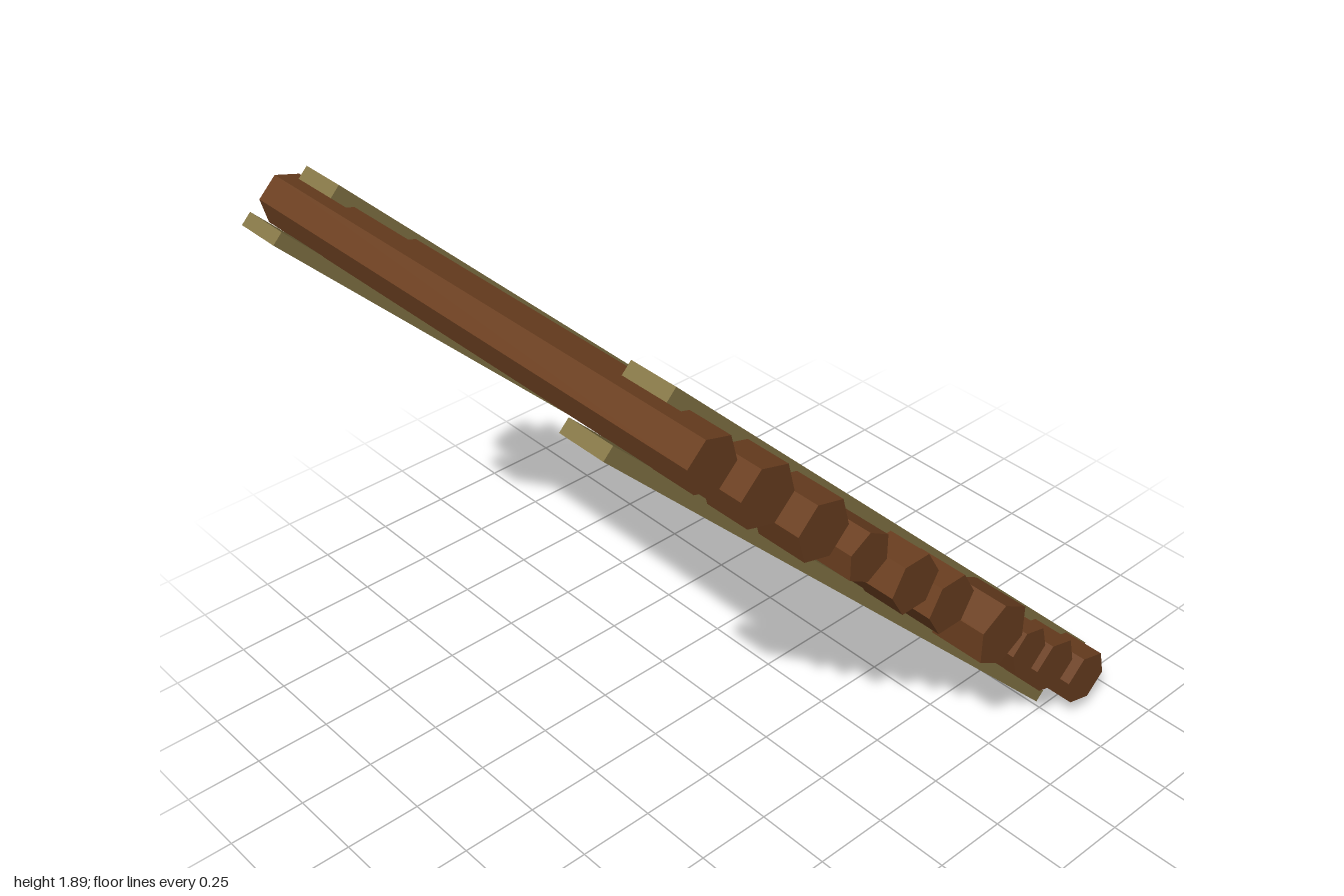
import * as THREE from 'three';

const rad = THREE.MathUtils.degToRad;

// Inclined rack: hexagonal logs clamped between two pairs of sloping planks
export function createModel() {
  const group = new THREE.Group();
  const logMat = new THREE.MeshStandardMaterial({ color: 0x6b3f20, flatShading: true });
  const plankMat = new THREE.MeshStandardMaterial({ color: 0x857646, flatShading: true });

  // Sloping plank, running between two points of the side profile
  function addPlank(name, [x0, y0], [x1, y1], z) {
    const dx = x1 - x0, dy = y1 - y0;
    const plank = new THREE.Mesh(new THREE.BoxGeometry(Math.hypot(dx, dy), 0.042, 0.157), plankMat);
    plank.position.set((x0 + x1) / 2, (y0 + y1) / 2, z);
    plank.rotation.z = Math.atan2(dy, dx);
    plank.name = name;
    group.add(plank);
  }
  for (const [side, z] of [['front', 0.647], ['back', -0.715]]) {
    addPlank(side + 'UpperPlank', [-0.795, 1.876], [0.985, 0.101], z);
    addPlank(side + 'LowerPlank', [-0.985, 1.802], [0.78, 0.015], z);
  }

  // Logs: x, y, radius, roll of a corner in degrees, shift along z
  const logs = [
    [-0.798, 1.755, 0.080, -16, -0.022],
    [-0.620, 1.580, 0.092, -16, -0.022],
    [-0.447, 1.403, 0.092, -15, 0],
    [-0.275, 1.230, 0.079, 30, 0],
    [-0.057, 1.012, 0.092, 0, -0.022],
    [0.077, 0.882, 0.092, 0, 0],
    [0.294, 0.665, 0.106, 30, 0.023],
    [0.464, 0.491, 0.080, -15, 0],
    [0.638, 0.318, 0.092, -16, -0.022],
    [0.815, 0.163, 0.092, -16, -0.022],
  ];
  logs.forEach(([x, y, r, roll, z], i) => {
    const geo = new THREE.CylinderGeometry(r, r, 1.776, 6);
    geo.rotateX(Math.PI / 2).rotateZ(rad(roll - 30));
    const log = new THREE.Mesh(geo, logMat);
    log.position.set(x, y, z);
    log.name = 'log' + (i + 1);
    group.add(log);
  });

  return group;
}
